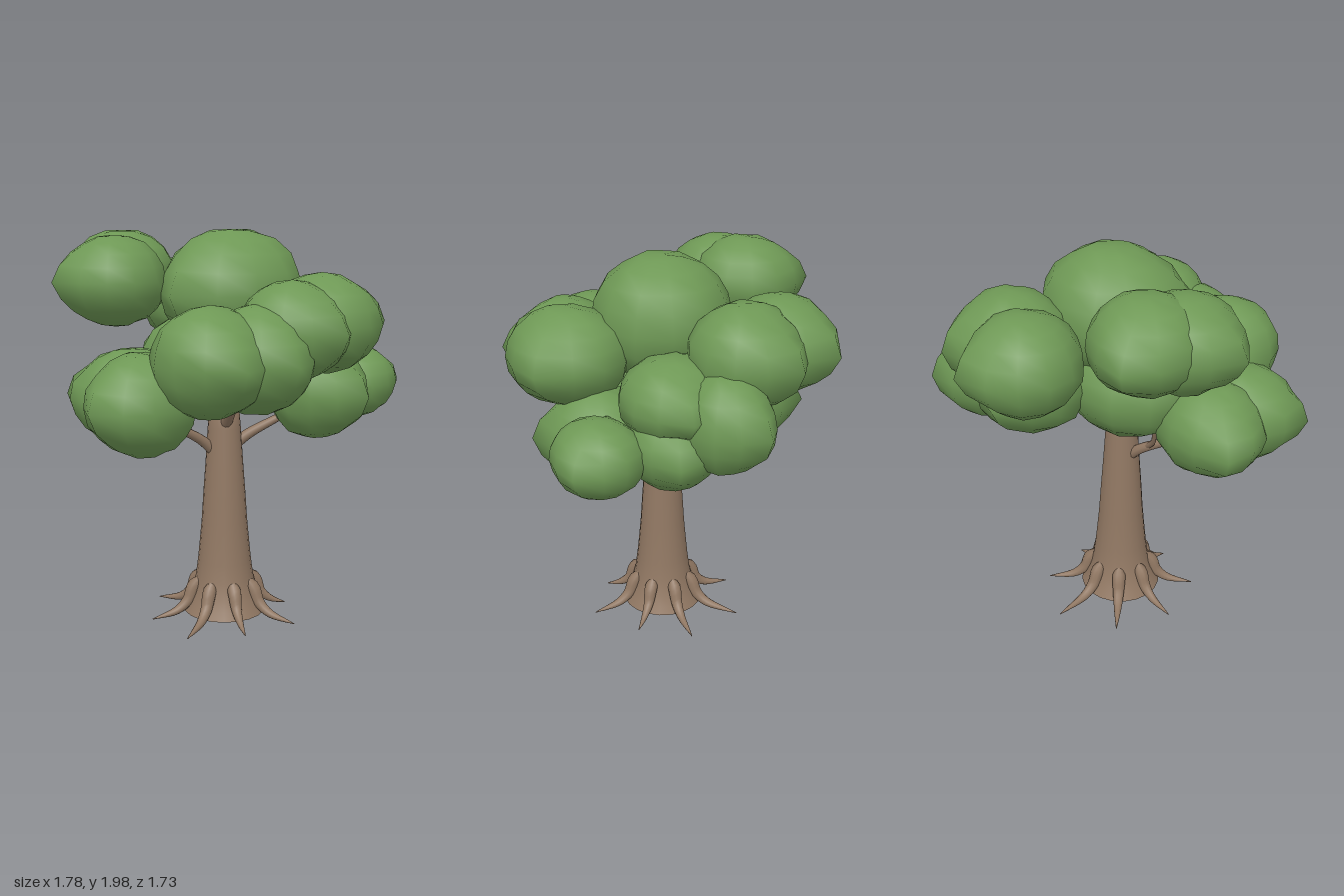
import * as THREE from 'three';
import { mergeVertices } from 'three/addons/utils/BufferGeometryUtils.js';

const bark = new THREE.MeshStandardMaterial({ color: 0x917863, side: THREE.DoubleSide });
const leaf = new THREE.MeshStandardMaterial({ color: 0x6e9855 });
const TX = -0.08, TZ = 0.02; // trunk axis

// Seeded random numbers in -1..1
function seeded(seed) {
  let s = seed * 7919 + 17;
  return () => {
    s = (s * 16807) % 2147483647;
    return (s / 2147483647) * 2 - 1;
  };
}

// Round tube along a curve whose radius follows radiusAt(t)
function taperedTube(points, radiusAt, name) {
  const curve = new THREE.CatmullRomCurve3(points.map((p) => new THREE.Vector3(...p)));
  const n = 16, sides = 10;
  const geo = new THREE.TubeGeometry(curve, n, 1, sides);
  const pos = geo.attributes.position, v = new THREE.Vector3();
  for (let i = 0; i <= n; i++) {
    const c = curve.getPointAt(i / n), r = radiusAt(i / n);
    for (let j = 0; j <= sides; j++) {
      const k = i * (sides + 1) + j;
      v.fromBufferAttribute(pos, k).sub(c).multiplyScalar(r).add(c);
      pos.setXYZ(k, v.x, v.y, v.z);
    }
  }
  const mesh = new THREE.Mesh(geo, bark);
  mesh.name = name;
  return mesh;
}

// Leaf clump: uneven ellipsoid drawn out to a corner towards an angle in the ground plane
function clump([x, y, z, rx, ry, rz, corner], index) {
  let geo = new THREE.SphereGeometry(1, 12, 10);
  geo.deleteAttribute('uv');
  geo.deleteAttribute('normal');
  geo = mergeVertices(geo, 1e-4);
  const pos = geo.attributes.position, v = new THREE.Vector3(), rand = seeded(index + 1);
  const a = THREE.MathUtils.degToRad(corner);
  const dir = new THREE.Vector3(Math.cos(a), 0, Math.sin(a));
  geo.rotateY(-a); // put a vertex on the corner
  for (let i = 0; i < pos.count; i++) {
    v.fromBufferAttribute(pos, i);
    const pull = 0.27 * Math.max(0, v.dot(dir)) ** 9;
    v.multiplyScalar(1 + pull + 0.025 * rand());
    // slightly boxy in height, so the clump is full around its middle
    v.y *= 1.04 - 0.04 * v.y * v.y;
    pos.setXYZ(i, v.x * rx, v.y * ry, v.z * rz);
  }
  geo.computeVertexNormals();
  const mesh = new THREE.Mesh(geo, leaf);
  mesh.position.set(x, y, z);
  mesh.name = 'leafClump' + (index + 1);
  return mesh;
}

export function createModel() {
  const tree = new THREE.Group();
  tree.name = 'tree';

  // Trunk, flared and open at the foot
  const profile = [
    [0.215, 0.03], [0.195, 0.07], [0.17, 0.13], [0.15, 0.21], [0.138, 0.3], [0.128, 0.4],
    [0.117, 0.52], [0.108, 0.66], [0.096, 0.82], [0.084, 1.0], [0.075, 1.11], [0.04, 1.15], [0, 1.16],
  ].map(([r, y]) => new THREE.Vector2(r, y));
  const trunk = new THREE.Mesh(new THREE.LatheGeometry(profile, 20), bark);
  trunk.position.set(TX, 0, TZ);
  trunk.name = 'trunk';
  tree.add(trunk);

  // Roots, evenly spaced around the foot
  const roots = new THREE.Group();
  roots.name = 'roots';
  const reach = [0.34, 0.4, 0.34, 0.4, 0.39, 0.4, 0.44, 0.4];
  reach.forEach((tip, i) => {
    const a = (i * Math.PI) / 4;
    const at = (r, y) => [TX + Math.cos(a) * r, y, TZ + Math.sin(a) * r];
    roots.add(taperedTube(
      [at(0.13, 0.21), at(0.17, 0.16), at(0.2, 0.09), at(0.26, 0.04), at(tip, 0.008)],
      (t) => 0.036 * Math.min(1, Math.sqrt(t * 7)) * (1 - t ** 1.6) + 0.002, 'root'));
  });
  tree.add(roots);

  // Branches reaching into the leaves
  const branches = new THREE.Group();
  branches.name = 'branches';
  [
    [[-0.06, 0.88, 0.02], [0.04, 0.96, 0.04], [0.2, 1.05, 0.08], [0.36, 1.15, 0.12]],
    [[-0.1, 0.84, 0.02], [-0.2, 0.94, 0.04], [-0.36, 1.04, 0.1], [-0.52, 1.14, 0.16]],
    [[-0.24, 0.97, 0.05], [-0.3, 1.03, 0.03], [-0.34, 1.12, 0.0], [-0.38, 1.25, -0.04]],
    [[-0.09, 1.02, 0.06], [-0.09, 1.08, 0.13], [-0.1, 1.18, 0.25], [-0.12, 1.3, 0.4]],
  ].forEach((pts, i) => {
    const r = i === 2 ? 0.016 : 0.032;
    branches.add(taperedTube(pts, (t) => r * (1 - 0.65 * t), 'branch'));
  });
  tree.add(branches);

  // Leaf clumps: centre x, y, z, radii x, y, z, corner angle (0 = +x, 90 = +z)
  const crown = new THREE.Group();
  crown.name = 'crown';
  [
    [-0.03, 1.68, 0.0, 0.355, 0.31, 0.34, 148],    // top
    [-0.13, 1.34, 0.02, 0.38, 0.27, 0.33, 60],     // core
    [-0.6, 1.74, -0.09, 0.25, 0.22, 0.265, 170],   // upper right side
    [-0.53, 1.76, -0.25, 0.265, 0.22, 0.265, 242],
    [-0.09, 1.6, -0.57, 0.27, 0.24, 0.26, 285],    // back
    [0.13, 1.6, -0.47, 0.28, 0.25, 0.27, 290],
    [0.12, 1.37, -0.38, 0.29, 0.25, 0.28, 250],
    [0.36, 1.36, -0.47, 0.22, 0.24, 0.22, 295],
    [0.34, 1.43, -0.2, 0.265, 0.2, 0.25, 320],     // left side
    [0.4, 1.23, -0.22, 0.23, 0.21, 0.23, 330],
    [0.62, 1.21, 0.05, 0.2, 0.185, 0.225, 0],
    [0.36, 1.19, 0.16, 0.245, 0.245, 0.255, 60],
    [0.3, 1.55, 0.35, 0.265, 0.235, 0.3, 0],       // front
    [0.11, 1.53, 0.45, 0.26, 0.23, 0.24, 60],
    [-0.07, 1.41, 0.49, 0.265, 0.25, 0.25, 75],
    [-0.3, 1.41, 0.51, 0.28, 0.25, 0.26, 80],
    [-0.58, 1.21, 0.36, 0.25, 0.24, 0.25, 150],    // lower right side
    [-0.57, 1.21, 0.14, 0.28, 0.23, 0.25, 215],
  ].forEach((c, i) => crown.add(clump(c, i)));
  tree.add(crown);

  return tree;
}
